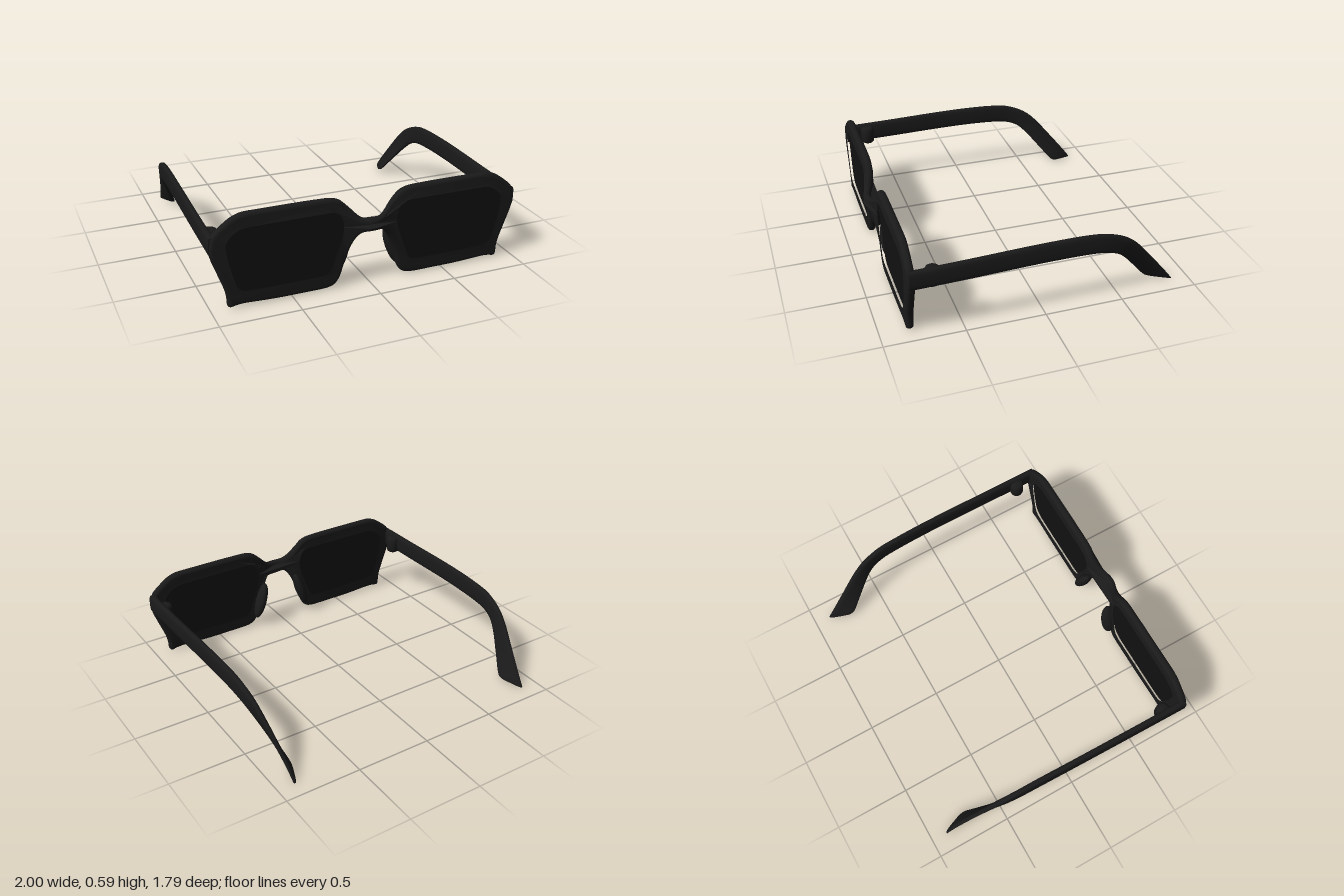
import * as THREE from 'three';
import { toCreasedNormals } from 'three/addons/utils/BufferGeometryUtils.js';

const frameMat = new THREE.MeshStandardMaterial({ color: 0x1a1a1a });
const lensMat = new THREE.MeshStandardMaterial({ color: 0x111111 });
const FRONT_Z = 0.814;

// Trace a closed polygon with softened corners onto a Shape or Path
function roundedPath(path, pts, radius) {
  const v = pts.map(([x, y]) => new THREE.Vector2(x, y));
  const toward = (p, q) => {
    const d = p.distanceTo(q);
    return p.clone().lerp(q, Math.min(radius, d * 0.45) / d);
  };
  v.forEach((p, i) => {
    const a = toward(p, v[(i + v.length - 1) % v.length]);
    const b = toward(p, v[(i + 1) % v.length]);
    if (i === 0) path.moveTo(a.x, a.y);
    else path.lineTo(a.x, a.y);
    path.quadraticCurveTo(p.x, p.y, b.x, b.y);
  });
  path.closePath();
  return path;
}

const mirror = (pts) => pts.map(([x, y]) => [-x, y]).reverse();

// Half outline of the front, from bridge top round to bridge underside
const halfRim = [
  [0.07, 0.45], [0.14, 0.525], [0.215, 0.595], [0.4, 0.6], [0.83, 0.6], [0.96, 0.505], [0.985, 0.47],
  [1.0, 0.37], [0.9, 0.1], [0.9, 0.002], [0.83, 0.022], [0.6, 0.01], [0.25, 0.01], [0.195, 0.055],
  [0.155, 0.19], [0.115, 0.3], [0.07, 0.362],
];
const lensOutline = [
  [0.2, 0.535], [0.82, 0.535], [0.925, 0.455], [0.92, 0.34], [0.855, 0.09], [0.7, 0.08],
  [0.25, 0.08], [0.205, 0.2], [0.15, 0.36], [0.15, 0.45],
];

// One-piece rim with two openings, its bridge bowed forward
function rimGeometry() {
  const outline = [[0, 0.444], ...halfRim, [0, 0.366], ...mirror(halfRim)];
  const shape = roundedPath(new THREE.Shape(), outline, 0.07);
  for (const pts of [lensOutline, mirror(lensOutline)]) {
    shape.holes.push(roundedPath(new THREE.Path(), pts, 0.08));
  }
  const geo = new THREE.ExtrudeGeometry(shape, {
    depth: 0.006, curveSegments: 8, bevelEnabled: true,
    bevelThickness: 0.022, bevelSize: 0.024, bevelOffset: -0.024, bevelSegments: 5,
  });
  geo.translate(0, 0, FRONT_Z - 0.003);
  const p = geo.attributes.position;
  for (let i = 0; i < p.count; i++) {
    const x = Math.min(Math.abs(p.getX(i)) / 0.18, 1);
    p.setZ(i, p.getZ(i) + 0.052 * Math.cos(x * Math.PI / 2) ** 2);
  }
  return toCreasedNormals(geo, 0.9);
}

// Arm lofted between an upper and a lower edge curve, twisting in at the tip
function templeGeometry() {
  // upper edge x, y, z, lower edge x, y, z, half thickness
  const rows = [
    [0.975, 0.475, 0.825, 0.975, 0.35, 0.825, 0.023],
    [0.973, 0.482, 0.5, 0.973, 0.355, 0.5, 0.021],
    [0.967, 0.495, 0, 0.967, 0.366, 0, 0.02],
    [0.96, 0.489, -0.28, 0.96, 0.36, -0.28, 0.02],
    [0.957, 0.473, -0.4, 0.955, 0.347, -0.39, 0.02],
    [0.946, 0.425, -0.52, 0.942, 0.314, -0.475, 0.02],
    [0.935, 0.365, -0.6, 0.918, 0.255, -0.54, 0.018],
    [0.905, 0.19, -0.75, 0.868, 0.135, -0.64, 0.016],
    [0.884, 0.04, -0.87, 0.828, 0.035, -0.725, 0.015],
    [0.883, 0.006, -0.895, 0.828, 0.022, -0.75, 0.012],
  ];
  const edge = (o) => new THREE.CatmullRomCurve3(rows.map((r) => new THREE.Vector3(r[o], r[o + 1], r[o + 2])));
  const upper = edge(0), lower = edge(3);
  const steps = (rows.length - 1) * 4, sides = 20;
  const pos = [], idx = [];
  const soft = (c) => Math.sign(c) * Math.abs(c) ** 0.6;
  for (let i = 0; i <= steps; i++) {
    const u = i / steps, k = Math.min(Math.floor(i / 4), rows.length - 2);
    const half = THREE.MathUtils.lerp(rows[k][6], rows[k + 1][6], i / 4 - k);
    const a = upper.getPoint(u), b = lower.getPoint(u);
    const mid = a.clone().add(b).multiplyScalar(0.5), arm = a.sub(b).multiplyScalar(0.5);
    for (let j = 0; j < sides; j++) {
      const t = (j / sides) * Math.PI * 2;
      const q = mid.clone().addScaledVector(arm, soft(Math.cos(t)));
      pos.push(q.x + half * soft(Math.sin(t)), q.y, q.z);
      const n = (j + 1) % sides, s = i * sides;
      if (i < steps) idx.push(s + j, s + n, s + sides + n, s + j, s + sides + n, s + sides + j);
    }
  }
  // End caps
  const last = steps * sides;
  for (let j = 1; j < sides - 1; j++) {
    idx.push(0, j + 1, j, last, last + j, last + j + 1);
  }
  const geo = new THREE.BufferGeometry();
  geo.setAttribute('position', new THREE.Float32BufferAttribute(pos, 3));
  geo.setIndex(idx);
  return toCreasedNormals(geo, 0.9);
}

// Upright hinge barrel with rounded ends
function hingeGeometry() {
  const pts = [[0, 0.345], [0.032, 0.345], [0.042, 0.353], [0.046, 0.366], [0.046, 0.445], [0.04, 0.458], [0.03, 0.465], [0, 0.465]];
  return toCreasedNormals(new THREE.LatheGeometry(pts.map(([x, y]) => new THREE.Vector2(x, y)), 24), 0.9);
}

export function createModel() {
  const model = new THREE.Group();
  model.name = 'sunglasses';
  const add = (parent, name, geo, mat) => {
    const mesh = new THREE.Mesh(geo, mat);
    mesh.name = name;
    parent.add(mesh);
    return mesh;
  };

  add(model, 'frontFrame', rimGeometry(), frameMat);

  // Lens sheet runs slightly under the rim
  const lens = new THREE.ExtrudeGeometry(
    roundedPath(new THREE.Shape(), lensOutline, 0.08),
    { depth: 0.008, curveSegments: 8, bevelThickness: 0.002, bevelSize: 0.008, bevelSegments: 1 },
  );
  lens.translate(0, 0, FRONT_Z - 0.004);
  const temple = templeGeometry(), hinge = hingeGeometry();
  const pad = new THREE.SphereGeometry(1, 28, 20);

  for (const [side, sign] of [['left', 1], ['right', -1]]) {
    const half = new THREE.Group();
    half.name = side + 'Side';
    half.scale.x = sign;
    add(half, side + 'Lens', lens, lensMat);
    add(half, side + 'Temple', temple, frameMat);
    add(half, side + 'Hinge', hinge, frameMat).position.set(0.945, 0, 0.68);
    const nosePad = add(half, side + 'NosePad', pad, frameMat);
    nosePad.scale.set(0.036, 0.135, 0.052);
    nosePad.position.set(0.168, 0.2, 0.779);
    nosePad.rotation.z = 0.32;
    model.add(half);
  }
  return model;
}
